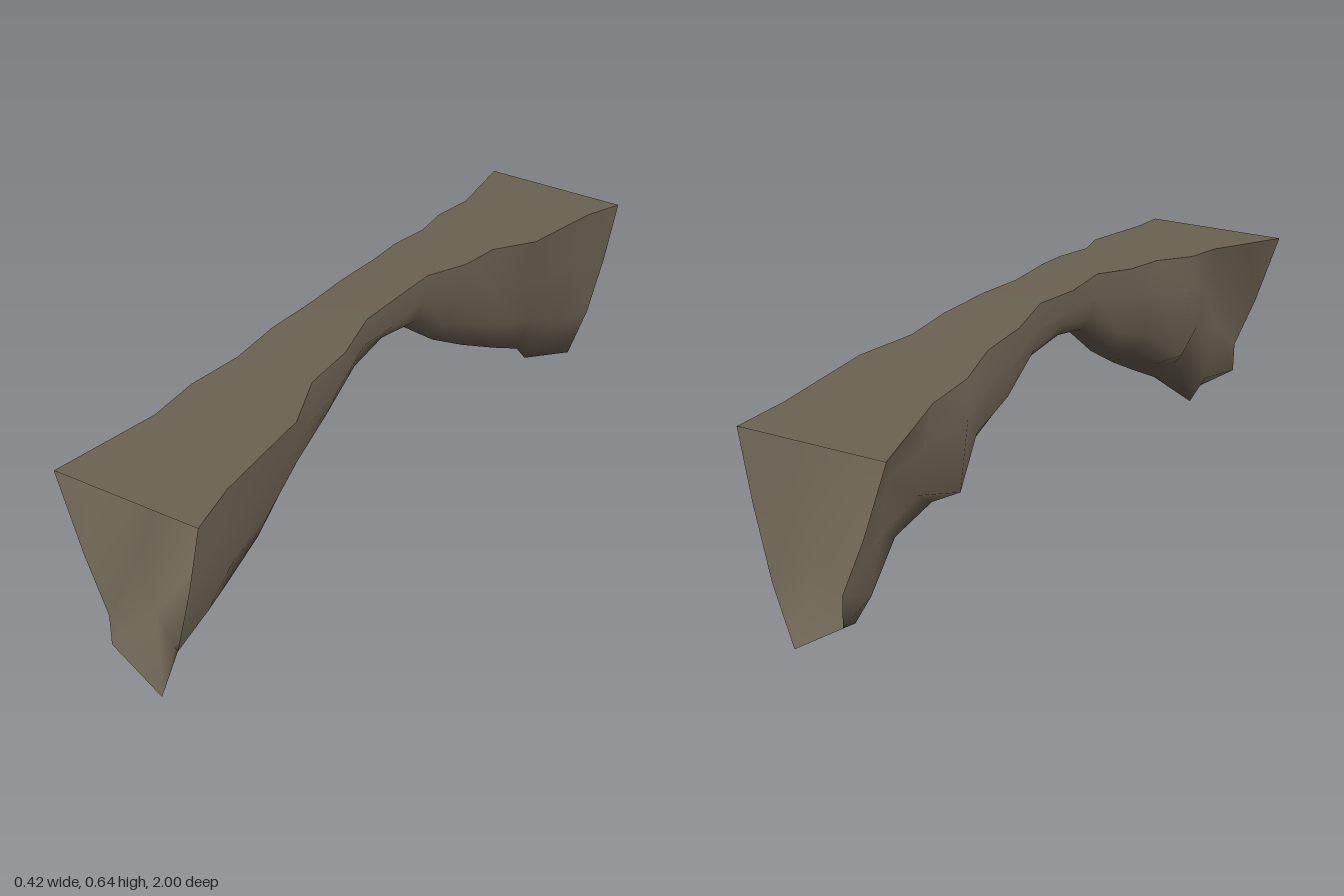
import * as THREE from 'three';

// Half of the arch, from the open end to the crown. Each cross-section runs
// from the top left edge, under the belly, to the top right edge (x, y pairs).
const SECTIONS = [
  [-.21, .54, -.14, .335, -.075, .18, -.073, .095, .073, 0, .13, .16, .175, .35, .21, .537],
  [-.175, .555, -.105, .42, -.085, .28, -.05, .11, 0, .025, .11, .18, .15, .4, .185, .555],
  [-.14, .57, -.11, .45, -.09, .325, -.02, .2, .05, .14, .09, .25, .14, .4, .18, .57],
  [-.14, .585, -.14, .48, -.115, .285, -.03, .24, .05, .21, .09, .3, .13, .44, .175, .585],
  [-.105, .605, -.1, .5, -.07, .38, -.03, .32, .03, .28, .07, .36, .11, .48, .12, .605],
  [-.105, .62, -.09, .53, -.07, .43, -.03, .38, .02, .36, .06, .42, .1, .51, .12, .62],
  [-.08, .64, -.075, .57, -.06, .51, -.03, .475, .01, .465, .05, .49, .08, .56, .09, .64],
  [-.09, .635, -.075, .57, -.06, .535, -.045, .505, 0, .492, .04, .505, .07, .545, .085, .635],
];

// Skins a list of equally long point rows with shared, smooth normals
function loft(rows) {
  const n = rows[0].length;
  const index = [];
  for (let i = 0; i < rows.length - 1; i++) {
    for (let j = 0; j < n - 1; j++) {
      const a = i * n + j, b = a + 1, d = a + n, c = d + 1;
      index.push(a, d, b, b, d, c);
    }
  }
  const geometry = new THREE.BufferGeometry().setFromPoints(rows.flat());
  geometry.setIndex(index);
  geometry.computeVertexNormals();
  return geometry;
}

export function createModel() {
  const rock = new THREE.MeshStandardMaterial({ color: 0x6b6252, side: THREE.DoubleSide });
  rock.name = 'brown rock';

  // Full span: the half arch mirrored front to back
  const last = SECTIONS.length - 1;
  const rows = [];
  for (let i = 0; i <= 2 * last; i++) {
    const s = SECTIONS[i <= last ? i : 2 * last - i];
    const z = 1 - i / last;
    const row = [];
    for (let j = 0; j < s.length; j += 2) row.push(new THREE.Vector3(s[j], s[j + 1], z));
    rows.push(row);
  }

  const group = new THREE.Group();
  group.name = 'rockArch';

  // Rounded sides and belly, open at both ends
  const belly = new THREE.Mesh(loft(rows), rock);
  belly.name = 'archSidesAndUnderside';

  // Walkway across the top, meeting the sides at a sharp edge
  const deck = new THREE.Mesh(loft(rows.map((r) => [r[r.length - 1], r[0]])), rock);
  deck.name = 'archTop';

  group.add(belly, deck);
  return group;
}
